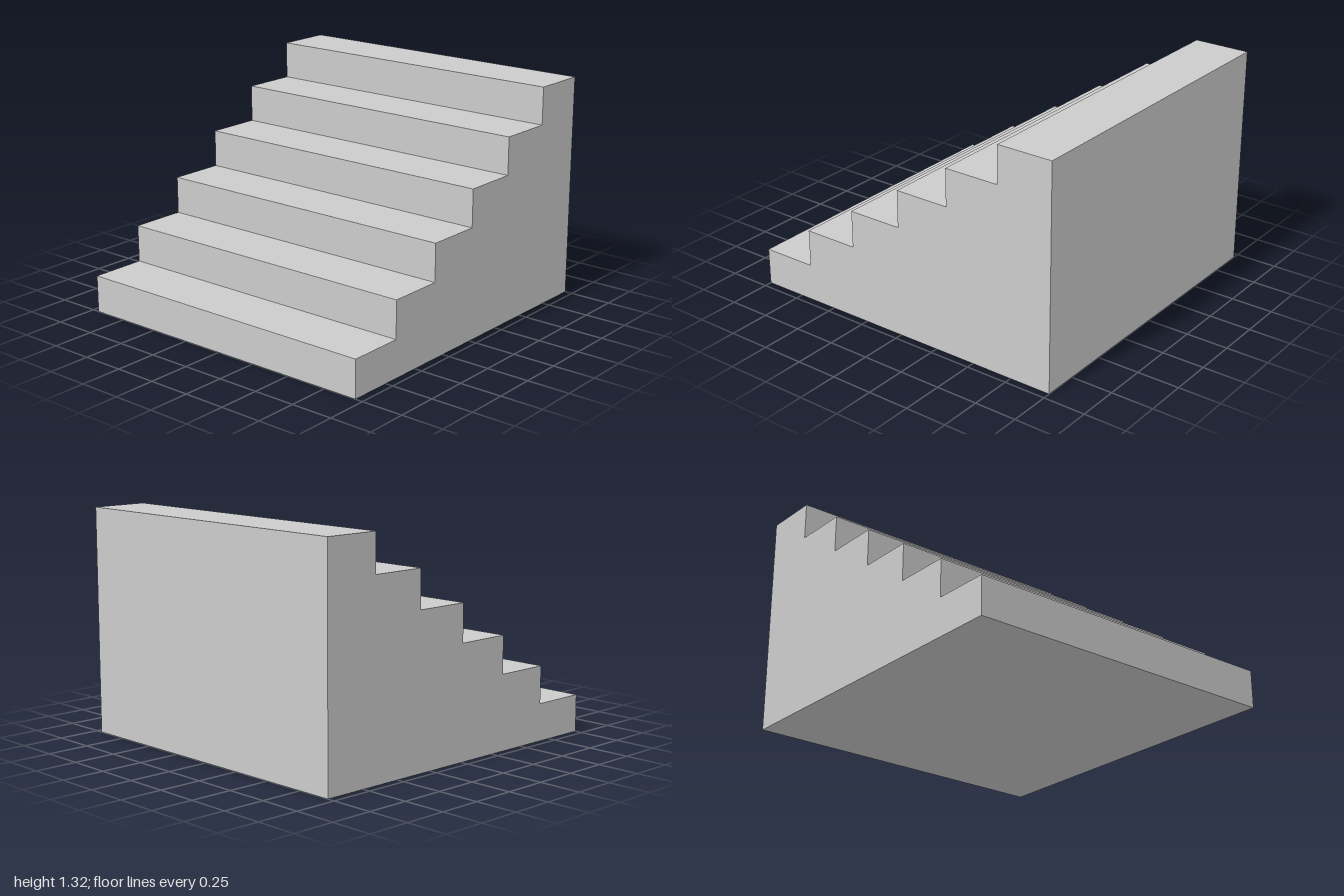
import * as THREE from 'three';

const STEPS = 6, WIDTH = 1.91, DEPTH = 2, HEIGHT = 1.316;

export function createModel() {
  const group = new THREE.Group();
  group.name = 'staircase';

  // Side profile: shape x runs along the depth, front at +1
  const tread = DEPTH / STEPS, rise = HEIGHT / STEPS;
  const profile = new THREE.Shape();
  profile.moveTo(-DEPTH / 2, 0);
  profile.lineTo(DEPTH / 2, 0);
  for (let i = 0; i < STEPS; i++) {
    const y = (i + 1) * rise;
    profile.lineTo(DEPTH / 2 - i * tread, y);
    profile.lineTo(DEPTH / 2 - (i + 1) * tread, y);
  }
  profile.closePath();

  // Solid flight of steps, extruded across the width
  const geometry = new THREE.ExtrudeGeometry(profile, { depth: WIDTH, bevelEnabled: false });
  geometry.translate(0, 0, -WIDTH / 2);
  geometry.rotateY(-Math.PI / 2);

  const steps = new THREE.Mesh(geometry, new THREE.MeshStandardMaterial({ color: 0xcccccc }));
  steps.name = 'steps';
  group.add(steps);
  return group;
}
